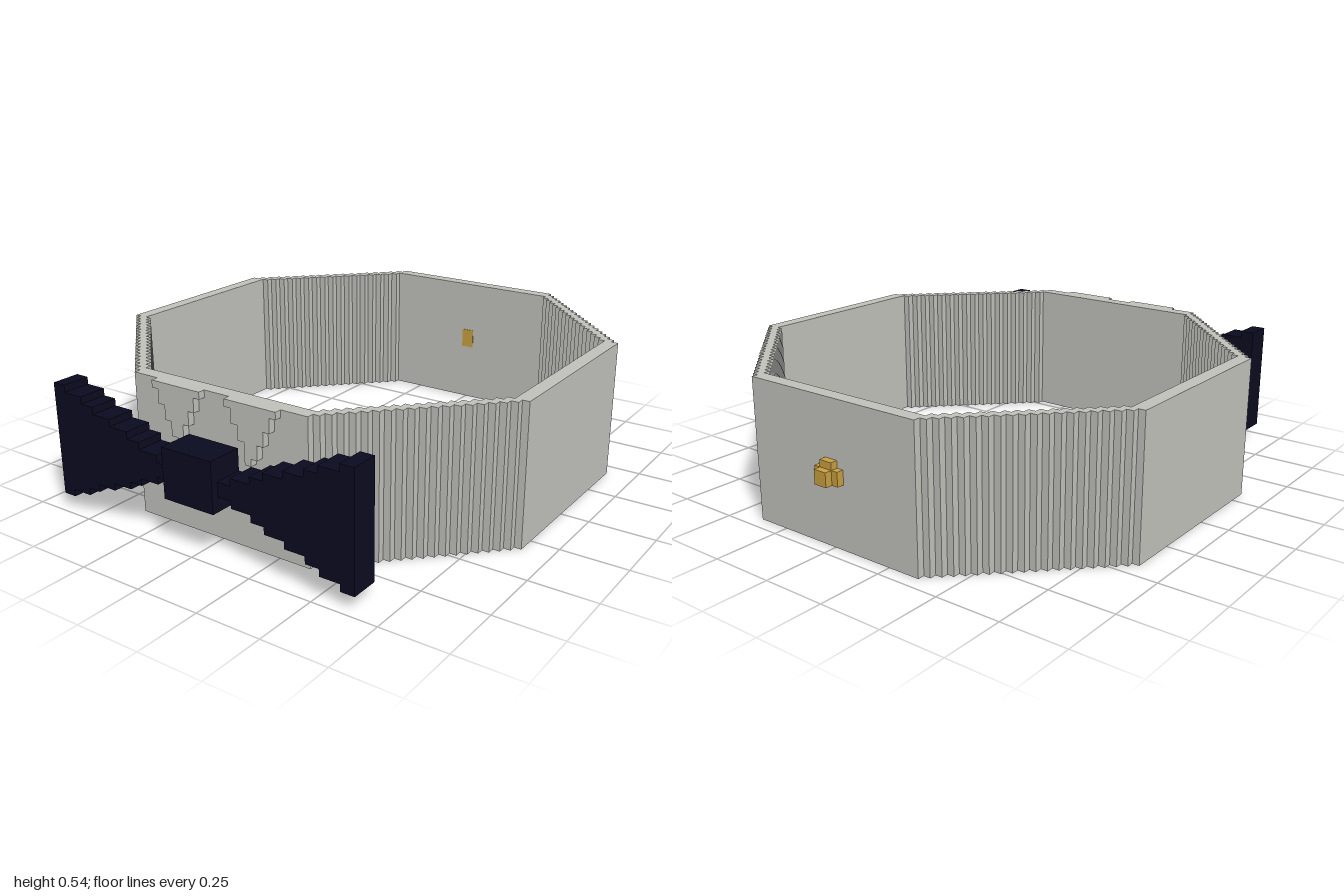
import * as THREE from 'three';

const V = 2 / 74; // grid unit: every part is laid out on this step
const Z0 = -1;    // z of the rearmost layer

const grey = new THREE.MeshStandardMaterial({ name: 'collarGrey', color: 0xc2c2bd });
const navy = new THREE.MeshStandardMaterial({ name: 'bowNavy', color: 0x0b0b20 });
const gold = new THREE.MeshStandardMaterial({ name: 'studGold', color: 0xc9a040 });

// Box given by its corners in grid units (z counted from the back)
function box(name, material, x0, x1, y0, y1, z0, z1) {
  const mesh = new THREE.Mesh(
    new THREE.BoxGeometry((x1 - x0) * V, (y1 - y0) * V, (z1 - z0) * V), material);
  mesh.position.set((x0 + x1) / 2 * V, (y0 + y1) / 2 * V, Z0 + (z0 + z1) / 2 * V);
  mesh.name = name;
  return mesh;
}

// Outline in grid units extruded between two z layers
function plate(name, material, points, z0, z1) {
  const shape = new THREE.Shape(points.map(([x, y]) => new THREE.Vector2(x * V, y * V)));
  const mesh = new THREE.Mesh(
    new THREE.ExtrudeGeometry(shape, { depth: (z1 - z0) * V, bevelEnabled: false }), material);
  mesh.position.z = Z0 + z0 * V;
  mesh.name = name;
  return mesh;
}

// Octagon whose four diagonals are staircases of one-unit steps
function steppedOctagon(flat, radius, first) {
  const corner = [[radius, flat]];
  for (let y = flat, x = first; y < radius; y++, x--) corner.push([x, y], [x, y + 1]);
  const points = [];
  for (const [sx, sy] of [[1, 1], [-1, 1], [-1, -1], [1, -1]]) {
    const part = corner.map(([x, y]) => new THREE.Vector2(x * sx * V, y * sy * V));
    points.push(...(sx * sy > 0 ? part : part.reverse()));
  }
  return points;
}

function collarBand() {
  const shape = new THREE.Shape(steppedOctagon(14, 33, 32));
  shape.holes.push(new THREE.Path(steppedOctagon(14, 31, 30)));
  const geometry = new THREE.ExtrudeGeometry(shape, { depth: 20 * V, bevelEnabled: false });
  geometry.rotateX(-Math.PI / 2);
  const mesh = new THREE.Mesh(geometry, grey);
  mesh.position.z = Z0 + 35 * V;
  mesh.name = 'collarBand';
  return mesh;
}

// Folded collar point: one row per unit from the top, inner and outer edge
function collarPoint(side) {
  const inner = [2, 3, 3, 4, 4, 5, 5, 5];
  const outer = [10, 9, 9, 8, 8, 7, 7, 6];
  const a = [], b = [];
  inner.forEach((x, i) => a.push([x * side, 20 - i], [x * side, 19 - i]));
  outer.forEach((x, i) => b.push([x * side, 20 - i], [x * side, 19 - i]));
  return plate(side > 0 ? 'leftCollarPoint' : 'rightCollarPoint', grey, [...a, ...b.reverse()], 68, 69);
}

// Bow wing: widens in steps away from the knot
function bowWing(side) {
  const xs = [3, 6, 9, 11, 14, 17, 19, 22, 24];
  const top = [], bottom = [];
  for (let i = 0; i < 8; i++) {
    const half = i + 1;
    for (const x of [xs[i], xs[i + 1]]) {
      top.push([x * side, 10 + half]);
      bottom.push([x * side, 10 - half]);
    }
  }
  return plate(side > 0 ? 'leftBowWing' : 'rightBowWing', navy, [...top, ...bottom.reverse()], 69, 73);
}

export function createModel() {
  const model = new THREE.Group();
  model.name = 'bowTieCollar';
  model.add(collarBand());

  const bow = new THREE.Group();
  bow.name = 'bowTie';
  for (const side of [-1, 1]) {
    model.add(collarPoint(side));
    bow.add(bowWing(side));
  }
  bow.add(box('bowKnot', navy, -4, 4, 7, 14, 69, 74));
  bow.add(box('bowFastener', navy, 13, 14, 13, 14, 68, 69));
  model.add(bow);

  // Stud at the back, with its end showing inside the band
  const stud = new THREE.Group();
  stud.name = 'backStud';
  stud.add(box('studBase', gold, -2, 2, 9, 11, 1, 2));
  stud.add(box('studTop', gold, -1, 1, 11, 12, 1, 2));
  stud.add(box('studHead', gold, -1, 1, 9, 11, 0, 1));
  stud.add(box('studInnerEnd', gold, -1, 1, 9, 12, 3.9, 4.1));
  model.add(stud);
  return model;
}
